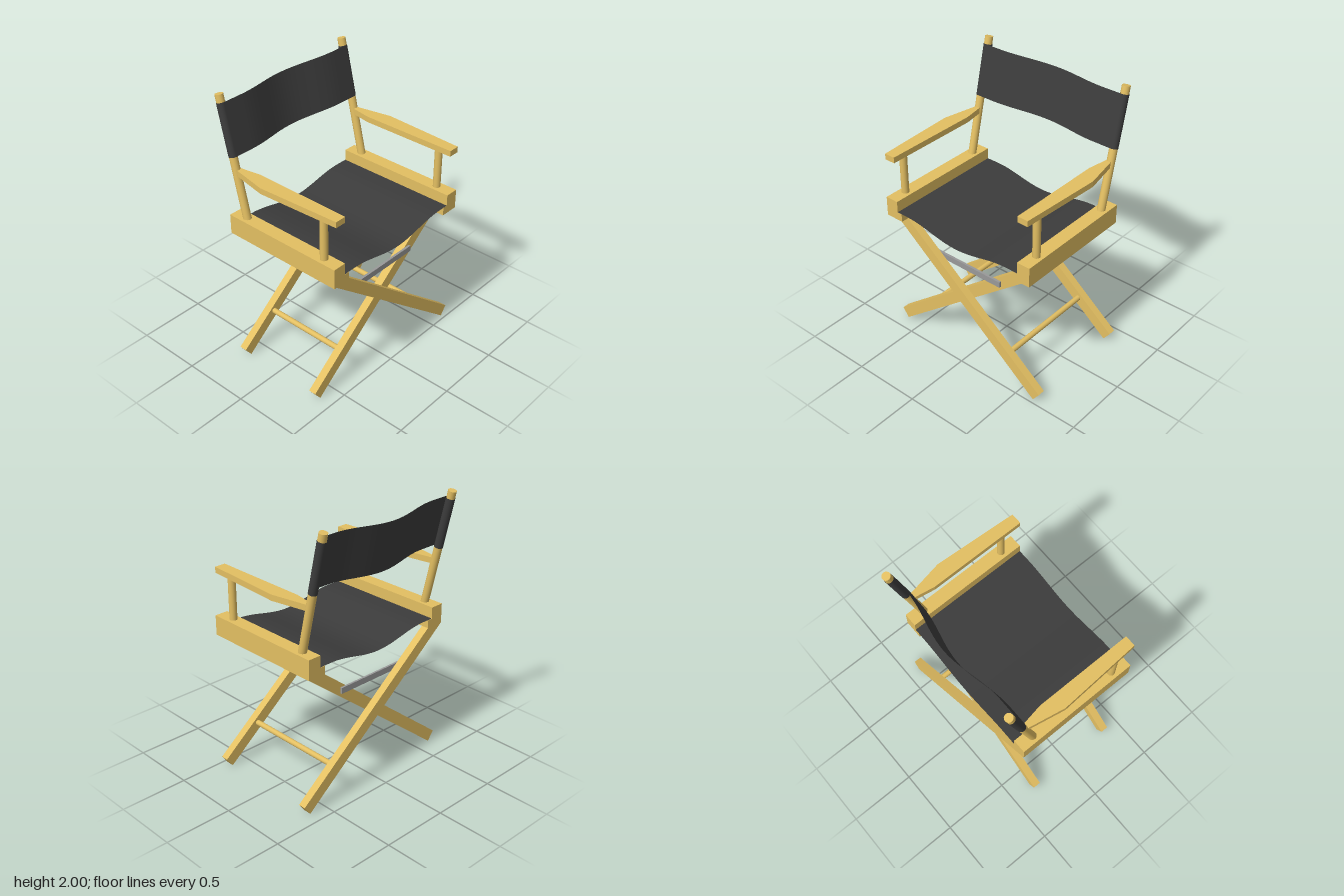
import * as THREE from 'three';

const wood = new THREE.MeshStandardMaterial({ color: 0xe3bf62 });
const cloth = new THREE.MeshStandardMaterial({ color: 0x3c3c3c, side: THREE.DoubleSide });
const metal = new THREE.MeshStandardMaterial({ color: 0x999999 });

function add(parent, name, geometry, material, x = 0, y = 0, z = 0) {
  const mesh = new THREE.Mesh(geometry, material);
  mesh.name = name;
  mesh.position.set(x, y, z);
  parent.add(mesh);
  return mesh;
}

// Extruded outline whose x is mirrored by the side sign
function slab(points, side, depth) {
  const shape = new THREE.Shape(points.map(([x, y]) => new THREE.Vector2(x * side, y)));
  return new THREE.ExtrudeGeometry(shape, { depth, bevelEnabled: false });
}

// Flat at both edges, 1 in the middle
const sag = (x) => 0.5 + 0.5 * Math.cos(Math.PI * Math.min(1, Math.abs(x) / 0.44));

// Plane pushed back along its normal by the sag
function sheet(width, height, depth) {
  const g = new THREE.PlaneGeometry(width, height, 48, 1);
  const p = g.attributes.position;
  for (let i = 0; i < p.count; i++) p.setZ(i, -depth * sag(p.getX(i)));
  g.computeVertexNormals();
  return g;
}

export function createModel() {
  const chair = new THREE.Group();
  chair.name = 'foldingChair';

  const POST_X = 0.577, POST_R = 0.029;
  const legOutline = [[0.63, 0], [0.68, 0.068], [-0.49, 1], [-0.625, 1]];
  const railOutline = [[0.49, 1], [0.627, 1], [0.627, 1.145], [0.527, 1.145], [0.527, 1.06], [0.49, 1.06]];
  const armOutline = [[0.528, 0.527], [0.609, 0.527], [0.643, -0.085], [0.59, -0.36], [0.555, -0.36], [0.528, -0.2]];

  // Reclined backrest frame
  const back = new THREE.Group();
  back.name = 'backrest';
  back.position.set(0, 1.14, -0.292);
  back.rotation.x = -0.23;
  chair.add(back);

  for (const side of [1, -1]) {
    const label = side > 0 ? 'left' : 'right';

    // Stepped seat rail
    add(chair, label + 'SeatRail', slab(railOutline, side, 0.933), wood, 0, 0, -0.406);

    // Tapered armrest and its front post
    const arm = slab(armOutline, side, 0.043);
    arm.rotateX(Math.PI / 2);
    add(chair, label + 'Armrest', arm, wood, 0, 1.494, 0);
    add(chair, label + 'ArmPost', new THREE.CylinderGeometry(0.027, 0.027, 0.33, 24),
      wood, side * POST_X, 1.295, 0.396);

    // Back post with its fabric sleeve
    add(back, label + 'BackPost', new THREE.CylinderGeometry(POST_R, POST_R, 0.906, 24),
      wood, side * POST_X, 0.423, 0);
    add(back, label + 'BackSleeve', new THREE.CylinderGeometry(0.031, 0.031, 0.374, 24, 1, true),
      cloth, side * POST_X, 0.635, 0);

    // Crossed legs: the left-foot pair sits outside the right-foot pair
    const [frontZ, rearZ] = side > 0 ? [0.415, -0.406] : [0.341, -0.334];
    add(chair, label + 'FrontLeg', slab(legOutline, side, 0.056), wood, 0, 0, frontZ);
    add(chair, label + 'RearLeg', slab(legOutline, side, 0.056), wood, 0, 0, rearZ);

    // Round stretcher joining the pair
    const length = frontZ - rearZ - 0.056;
    const rod = new THREE.CylinderGeometry(0.02, 0.02, length, 20);
    rod.rotateX(Math.PI / 2);
    add(chair, label + 'Stretcher', rod, wood, side * 0.385, 0.255, rearZ + 0.056 + length / 2);
  }

  // Sagging back and seat fabric
  add(back, 'backFabric', sheet(2 * POST_X, 0.374, 0.065), cloth, 0, 0.635, 0.031);
  const seat = sheet(1.054, 0.933, 0.062);
  seat.rotateX(-Math.PI / 2);
  add(chair, 'seatFabric', seat, cloth, 0, 1.062, 0.0605);

  // Metal bars between the crossed legs
  add(chair, 'frontBar', new THREE.BoxGeometry(0.57, 0.044, 0.017), metal, 0, 0.777, 0.406);
  add(chair, 'rearBar', new THREE.BoxGeometry(0.57, 0.044, 0.015), metal, 0, 0.777, -0.342);

  return chair;
}
